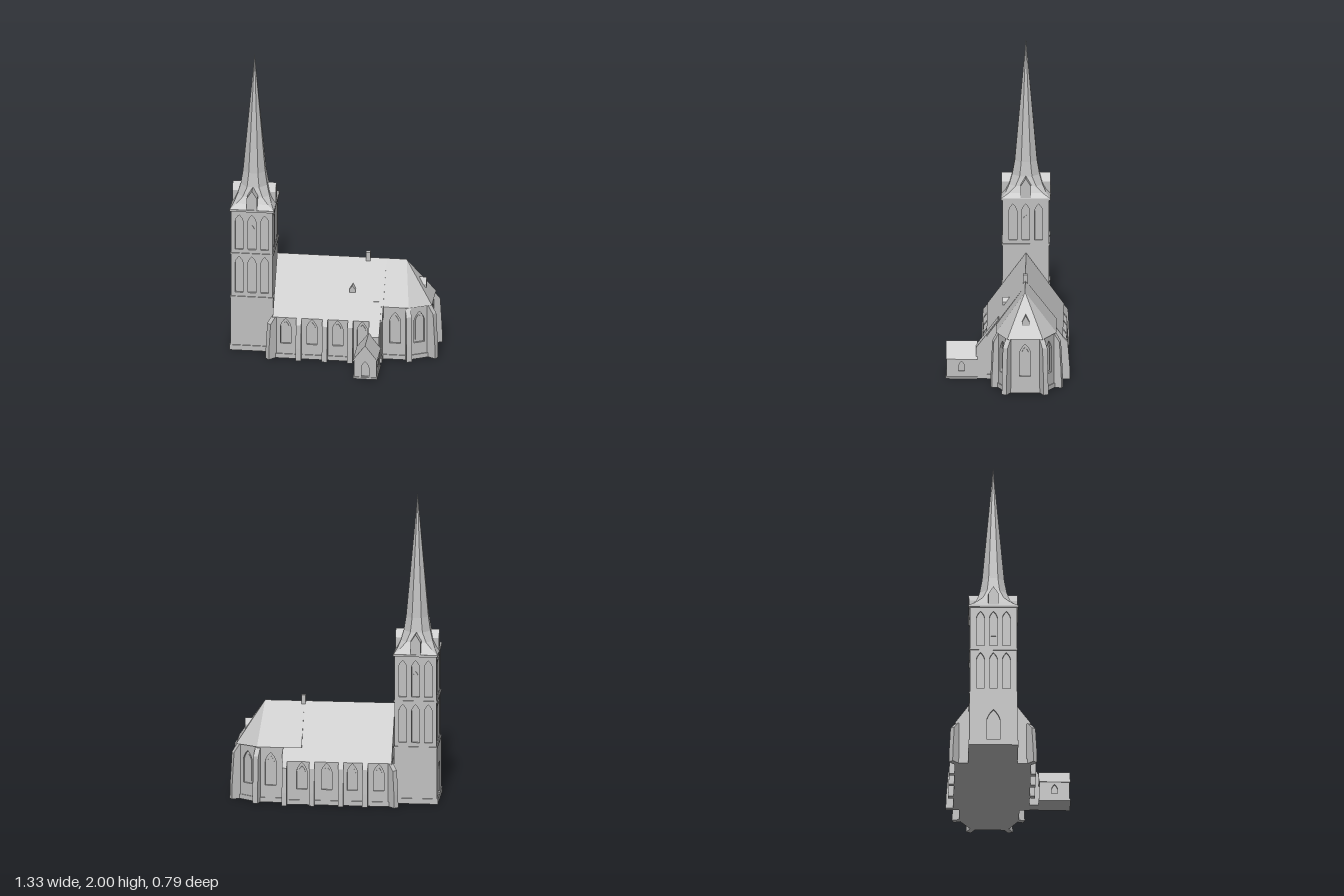
import * as THREE from 'three';
import { ConvexGeometry } from 'three/addons/geometries/ConvexGeometry.js';

const stone = new THREE.MeshStandardMaterial({ color: 0xc0c0c0, side: THREE.DoubleSide });
stone.name = 'light grey stone';

const V = (x, y, z) => new THREE.Vector3(x, y, z);
const poly = pts => new THREE.Shape(pts.map(p => new THREE.Vector2(p[0], p[1])));
const extrude = (shape, depth) =>
  new THREE.ExtrudeGeometry(shape, { depth, bevelEnabled: false, curveSegments: 4 });

function add(parent, name, geometry) {
  const mesh = new THREE.Mesh(geometry, stone);
  mesh.name = name;
  parent.add(mesh);
  return mesh;
}

function box(parent, name, x0, x1, y0, y1, z0, z1) {
  const g = new THREE.BoxGeometry(x1 - x0, y1 - y0, z1 - z0);
  g.translate((x0 + x1) / 2, (y0 + y1) / 2, (z0 + z1) / 2);
  return add(parent, name, g);
}

// Pointed (lancet) outline
function lancet(type, u, w, y0, y1) {
  const h = w / 2, s = y1 - w * 0.85, p = new type();
  p.moveTo(u - h, y0);
  p.lineTo(u + h, y0);
  p.lineTo(u + h, s);
  p.quadraticCurveTo(u + h * 0.8, s + (y1 - s) * 0.55, u, y1);
  p.quadraticCurveTo(u - h * 0.8, s + (y1 - s) * 0.55, u - h, s);
  p.closePath();
  return p;
}

// Upright wall from a to b (outside on the right-hand side), with recessed lancets.
// Each opening is [offset from wall centre, width, bottom, top, inner opening]
function wall(parent, name, a, b, y0, y1, openings = [], plinth = 0) {
  const t = 0.014, dx = b[0] - a[0], dz = b[1] - a[1], len = Math.hypot(dx, dz), h = len / 2;
  const g = new THREE.Group();
  g.name = name;
  g.position.set((a[0] + b[0]) / 2, 0, (a[1] + b[1]) / 2);
  g.rotation.y = Math.atan2(-dz, dx);
  const face = poly([[-h, y0], [h, y0], [h, y1], [-h, y1]]);
  for (const [u, w, bottom, top, inner] of openings) {
    face.holes.push(lancet(THREE.Path, u, w, bottom, top));
    add(g, 'recessPane', new THREE.ShapeGeometry(lancet(THREE.Shape, u, w, bottom, top), 4))
      .position.z = -t + 0.001;
    if (inner) add(g, 'innerOpening', extrude(lancet(THREE.Shape, u, ...inner), 0.006)).position.z = -t;
  }
  add(g, 'wallFace', extrude(face, t)).position.z = -t;
  if (plinth) box(g, 'plinth', -h - 0.004, h + 0.004, 0, plinth, -t, 0.006);
  parent.add(g);
}

// Closed ring of walls round a rectangle; openings per side: front, east, back, west
function wallRing(parent, name, x0, x1, z0, z1, y0, y1, sides = [], plinth = 0) {
  const c = [[x0, z1], [x1, z1], [x1, z0], [x0, z0]];
  c.forEach((p, i) => wall(parent, name, p, c[(i + 1) % 4], y0, y1, sides[i], plinth));
}

// Buttress with sloped weathering, projecting along the angle
function buttress(parent, x, z, angle, h, d = 0.04, w = 0.034) {
  const g = extrude(poly([[-0.02, 0], [d, 0], [d * 0.94, h * 0.3], [d * 0.7, h * 0.86], [0, h], [-0.02, h]]), w);
  g.translate(0, 0, -w / 2);
  const m = add(parent, 'buttress', g);
  m.position.set(x, 0, z);
  m.rotation.y = angle;
}

// Gabled dormer whose face is at (x, z), running back into the roof
function dormer(parent, name, x, z, angle, w, y0, spring, top, len) {
  const g = extrude(poly([[-w / 2, y0], [w / 2, y0], [w / 2, spring], [0, top], [-w / 2, spring]]), len);
  g.translate(0, 0, -len);
  const m = add(parent, name, g);
  m.position.set(x, 0, z);
  m.rotation.y = angle;
}

// Bell-cast spire: rectangle at the eaves turning into an octagon, then a point
function spireGeometry() {
  // y, half width x, half width z, half length of each octagon side as a fraction
  const rings = [[0.978, 0.142, 0.158, 1], [1.01, 0.12, 0.128, 0.84], [1.05, 0.102, 0.106, 0.62],
    [1.11, 0.085, 0.087, 0.45], [1.2, 0.071, 0.071, 0.414], [2, 0.0005, 0.0005, 0.414]];
  const pos = [], idx = [];
  for (const [y, a, b, f] of rings) {
    for (const [x, z] of [[f, 1], [1, f], [1, -f], [f, -1], [-f, -1], [-1, -f], [-1, f], [-f, 1]])
      pos.push(x * a, y, z * b);
  }
  for (let r = 0; r < rings.length - 1; r++) {
    for (let i = 0; i < 8; i++) {
      const p = r * 8 + i, q = r * 8 + (i + 1) % 8;
      idx.push(p, q, q + 8, p, q + 8, p + 8);
    }
  }
  const g = new THREE.BufferGeometry();
  g.setAttribute('position', new THREE.Float32BufferAttribute(pos, 3));
  g.setIndex(idx);
  const flat = g.toNonIndexed();
  flat.computeVertexNormals();
  return flat;
}

function buildTower() {
  const tower = new THREE.Group();
  tower.name = 'tower';
  tower.position.set(-0.522, 0, -0.11);
  const X = 0.133, Z = 0.148;
  const row = (y0, y1, inner) => [-1, 0, 1].map(i => [i * 0.082, 0.05, y0, y1, i === 0 && inner]);
  const mid = row(0.4, 0.65), bell = row(0.7, 0.94, [0.03, 0.77, 0.865]);
  const door = [[0, 0.085, 0.036, 0.25, [0.05, 0.036, 0.14]]];
  wallRing(tower, 'towerBase', -X - 0.004, X + 0.004, -Z - 0.004, Z + 0.004, 0, 0.37, [[], [], [], door], 0.035);
  wallRing(tower, 'towerMiddle', -X, X, -Z, Z, 0.37, 0.67, [mid, [], mid, mid]);
  wallRing(tower, 'belfry', -X, X, -Z, Z, 0.67, 0.97, [bell, bell, bell, bell]);
  box(tower, 'towerFloor', -X, X, 0, 0.01, -Z, Z);
  for (const y of [0.37, 0.672])
    box(tower, 'stringCourse', -X - 0.006, X + 0.006, y - 0.006, y + 0.004, -Z - 0.006, Z + 0.006);
  box(tower, 'cornice', -0.142, 0.142, 0.966, 0.98, -0.158, 0.158);
  add(tower, 'spire', spireGeometry());
  for (let i = 0; i < 4; i++) {
    const a = i * Math.PI / 2, r = i % 2 ? 0.139 : 0.155;
    dormer(tower, 'spireDormer', Math.sin(a) * r, Math.cos(a) * r, a, 0.066, 0.975, 1.06, 1.112, 0.1);
  }
  return tower;
}

function buildNave() {
  const nave = new THREE.Group();
  nave.name = 'nave';
  // Outline of nave, choir and angled apse
  const plan = [[-0.38, 0.128], [0.315, 0.128], [0.315, 0.065], [0.48, 0.065], [0.615, -0.005],
    [0.615, -0.222], [0.48, -0.305], [0.315, -0.305], [0.315, -0.345], [-0.38, -0.345]];
  const tall = [[0, 0.07, 0.11, 0.325, [0.045, 0.125, 0.3]]];
  const naveWindows = s => [-0.295, -0.127, 0.037, 0.195].map(
    x => [s * (x + 0.0325), 0.066, 0.1, 0.275, [0.042, 0.115, 0.25]]);
  const windows = { 0: naveWindows(1), 2: tall, 3: tall, 4: tall, 5: tall, 6: tall, 8: naveWindows(-1) };
  plan.forEach((p, i) => wall(nave, 'outerWall', p, plan[(i + 1) % plan.length], 0,
    i >= 2 && i <= 6 ? 0.36 : 0.29, windows[i], 0.03));
  const floor = extrude(poly(plan.map(([x, z]) => [x, -z])), 0.01);
  floor.rotateX(-Math.PI / 2);
  add(nave, 'floor', floor);

  // Steep roofs
  const rz = -0.112;
  add(nave, 'naveRoof', new ConvexGeometry([-0.378, 0.322].flatMap(x =>
    [V(x, 0.62, rz), V(x, 0.283, 0.134), V(x, 0.283, -0.352)])));
  add(nave, 'choirRoof', new ConvexGeometry([V(0.2, 0.62, rz), V(0.45, 0.62, rz),
    ...[0.2, 0.485].flatMap(x => [V(x, 0.362, 0.071), V(x, 0.362, -0.312)]),
    V(0.625, 0.358, 0), V(0.625, 0.358, -0.227)]));
  box(nave, 'chimney', 0.191, 0.219, 0.58, 0.66, rz - 0.014, rz + 0.014);
  dormer(nave, 'roofDormer', 0.12, 0.034, 0, 0.038, 0.435, 0.455, 0.482, 0.06);
  dormer(nave, 'apseDormer', 0.578, -0.117, Math.PI / 2, 0.046, 0.435, 0.46, 0.5, 0.06);

  // Buttresses along the sides, at the west corners and round the apse
  const q = Math.PI / 2;
  for (const x of [-0.21, -0.043, 0.12]) buttress(nave, x, 0.128, -q, 0.282);
  for (const x of [-0.21, -0.055, 0.13]) buttress(nave, x, -0.345, q, 0.282);
  buttress(nave, 0.304, -0.345, q, 0.285, 0.053, 0.03);
  buttress(nave, -0.375, 0.125, -q * 1.5, 0.28, 0.05);
  buttress(nave, -0.375, -0.342, q * 1.5, 0.28, 0.05);
  buttress(nave, 0.48, 0.063, -1.28, 0.355, 0.042);
  buttress(nave, 0.48, -0.303, 1.28, 0.355, 0.048);
  buttress(nave, 0.612, -0.005, -0.5, 0.355, 0.052);
  buttress(nave, 0.612, -0.222, 0.5, 0.355, 0.052);
  return nave;
}

function buildPorch() {
  const porch = new THREE.Group();
  porch.name = 'porch';
  const side = [[0, 0.038, 0.05, 0.115]];
  wallRing(porch, 'porchWall', 0.172, 0.315, 0.197, 0.387, 0, 0.135,
    [[[0, 0.048, 0.015, 0.12]], side, [], side], 0.012);
  box(porch, 'porchFloor', 0.172, 0.315, 0, 0.01, 0.197, 0.387);
  add(porch, 'porchRoof', new ConvexGeometry([0.192, 0.392].flatMap(z =>
    [V(0.244, 0.232, z), V(0.166, 0.13, z), V(0.321, 0.13, z)])));
  // Link whose lean-to roof carries on the nave slope
  const link = extrude(poly([[-0.05, 0], [-0.2, 0], [-0.2, 0.205], [-0.06, 0.39], [-0.05, 0.39]]), 0.07);
  link.rotateY(Math.PI / 2);
  add(porch, 'porchLink', link).position.x = 0.24;
  return porch;
}

export function createModel() {
  const church = new THREE.Group();
  church.name = 'church';
  church.add(buildTower(), buildNave(), buildPorch());
  return church;
}
